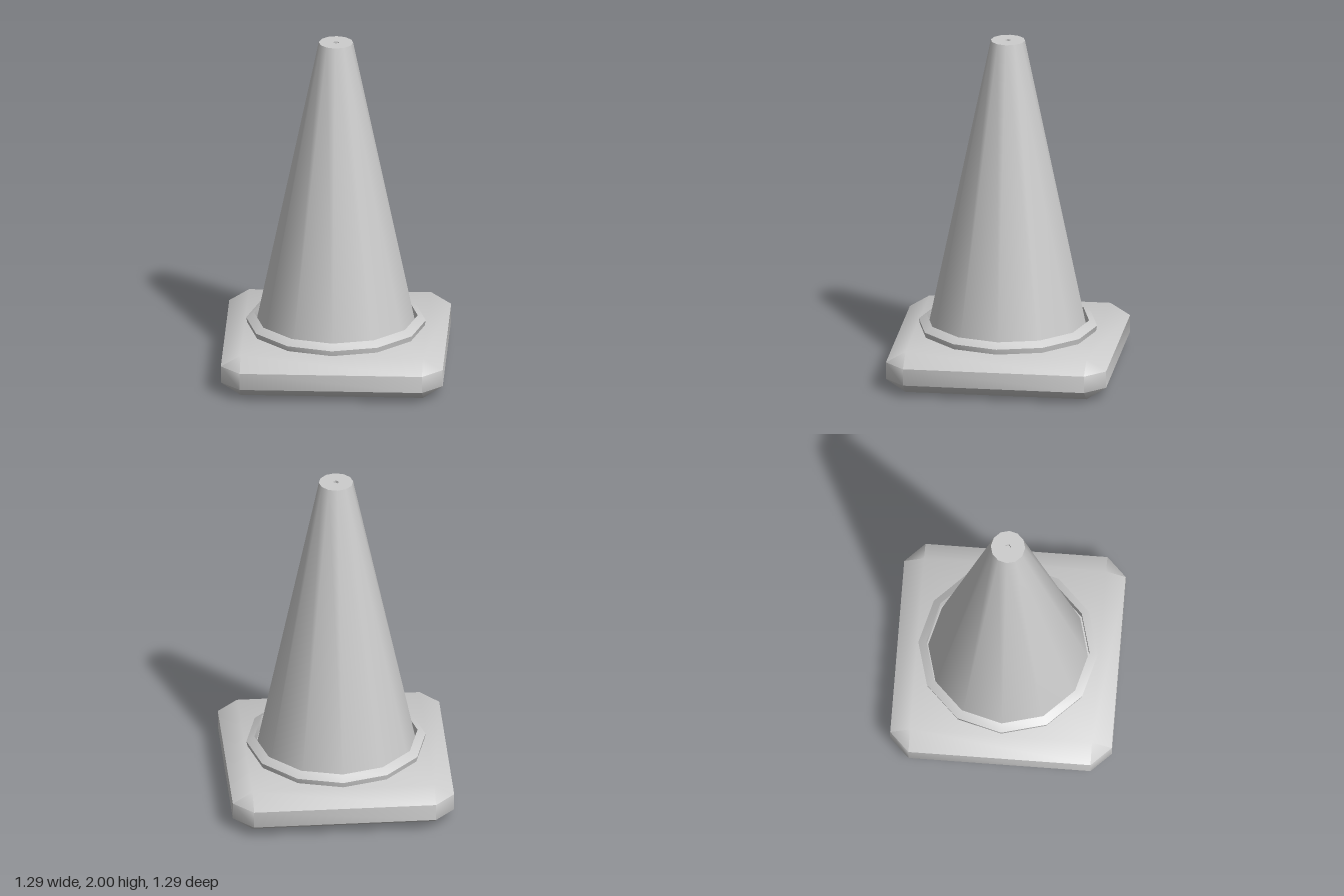
import * as THREE from 'three';
import { mergeGeometries, toCreasedNormals } from 'three/addons/utils/BufferGeometryUtils.js';

const CREASE = THREE.MathUtils.degToRad(50);
const SIDES = 12;

// Revolved profile; upward profiles face outward
function lathe(points, sides) {
  const profile = points.map(([r, y]) => new THREE.Vector2(r, y));
  return toCreasedNormals(new THREE.LatheGeometry(profile, sides), CREASE);
}

function polygon(radius, sides) {
  return Array.from({ length: sides }, (_, i) => {
    const a = (i / sides) * Math.PI * 2;
    return new THREE.Vector2(radius * Math.sin(a), -radius * Math.cos(a));
  });
}

// Square block with every edge chamfered and a round opening underneath
function createBase(inner, outer, heights, holeRadius) {
  const ring = (w, y) => {
    const points = [];
    for (let k = 0; k < 4; k++) {
      for (const [px, pz] of [[w, inner], [inner, w]]) {
        let x = px, z = pz;
        for (let t = 0; t < k; t++) [x, z] = [-z, x];
        points.push([x, y, z]);
      }
    }
    return points;
  };
  const rings = [inner, outer, outer, inner].map((w, i) => ring(w, heights[i]));
  const positions = [];
  const tri = (...corners) => {
    const [a, b, c] = corners.map((p) => new THREE.Vector3(...p));
    if (b.sub(a).cross(c.sub(a)).length() > 1e-8) positions.push(...corners.flat());
  };
  for (let i = 0; i < 8; i++) {
    const j = (i + 1) % 8;
    for (let r = 0; r < 3; r++) {
      const lo = rings[r], hi = rings[r + 1];
      tri(lo[i], hi[i], hi[j]);
      tri(lo[i], hi[j], lo[j]);
    }
    tri([0, heights[3], 0], rings[3][j], rings[3][i]);
  }
  const sides = new THREE.BufferGeometry();
  sides.setAttribute('position', new THREE.Float32BufferAttribute(positions, 3));

  // Underside
  const shape = new THREE.Shape([[-1, -1], [1, -1], [1, 1], [-1, 1]]
    .map(([x, y]) => new THREE.Vector2(x * inner, y * inner)));
  shape.holes.push(new THREE.Path(polygon(holeRadius, 32)));
  const under = new THREE.ShapeGeometry(shape).rotateX(Math.PI / 2).toNonIndexed();
  under.deleteAttribute('uv');
  under.deleteAttribute('normal');
  return toCreasedNormals(mergeGeometries([sides, under]), CREASE);
}

export function createModel() {
  const model = new THREE.Group();
  model.name = 'trafficCone';
  const grey = new THREE.MeshStandardMaterial({ color: 0xcccccc });
  grey.name = 'plainGrey';
  const add = (name, geometry) => {
    const mesh = new THREE.Mesh(geometry, grey);
    mesh.name = name;
    model.add(mesh);
  };

  // Base with its recess
  add('base', createBase(0.53, 0.645, [0, 0.075, 0.175, 0.245], 0.445));
  add('baseRecess', lathe([[0, 0.115], [0.445, 0.115], [0.445, 0]], 32));

  // Raised collar, set slightly clear of the cone
  add('collar', lathe([[0.515, 0.24], [0.522, 0.277], [0.475, 0.307], [0.475, 0.24]], SIDES));

  // Tapered body
  add('coneBody', lathe([[0.466, 0.24], [0.1, 2]], SIDES));

  // Tip with a tiny five-sided dimple
  const tip = new THREE.Shape(polygon(0.1, SIDES));
  tip.holes.push(new THREE.Path(polygon(0.018, 5)));
  add('coneTip', new THREE.ShapeGeometry(tip).rotateX(-Math.PI / 2).translate(0, 2, 0));
  add('tipDimple', lathe([[0.018, 2], [0.018, 1.985], [0, 1.985]], 5));

  return model;
}
